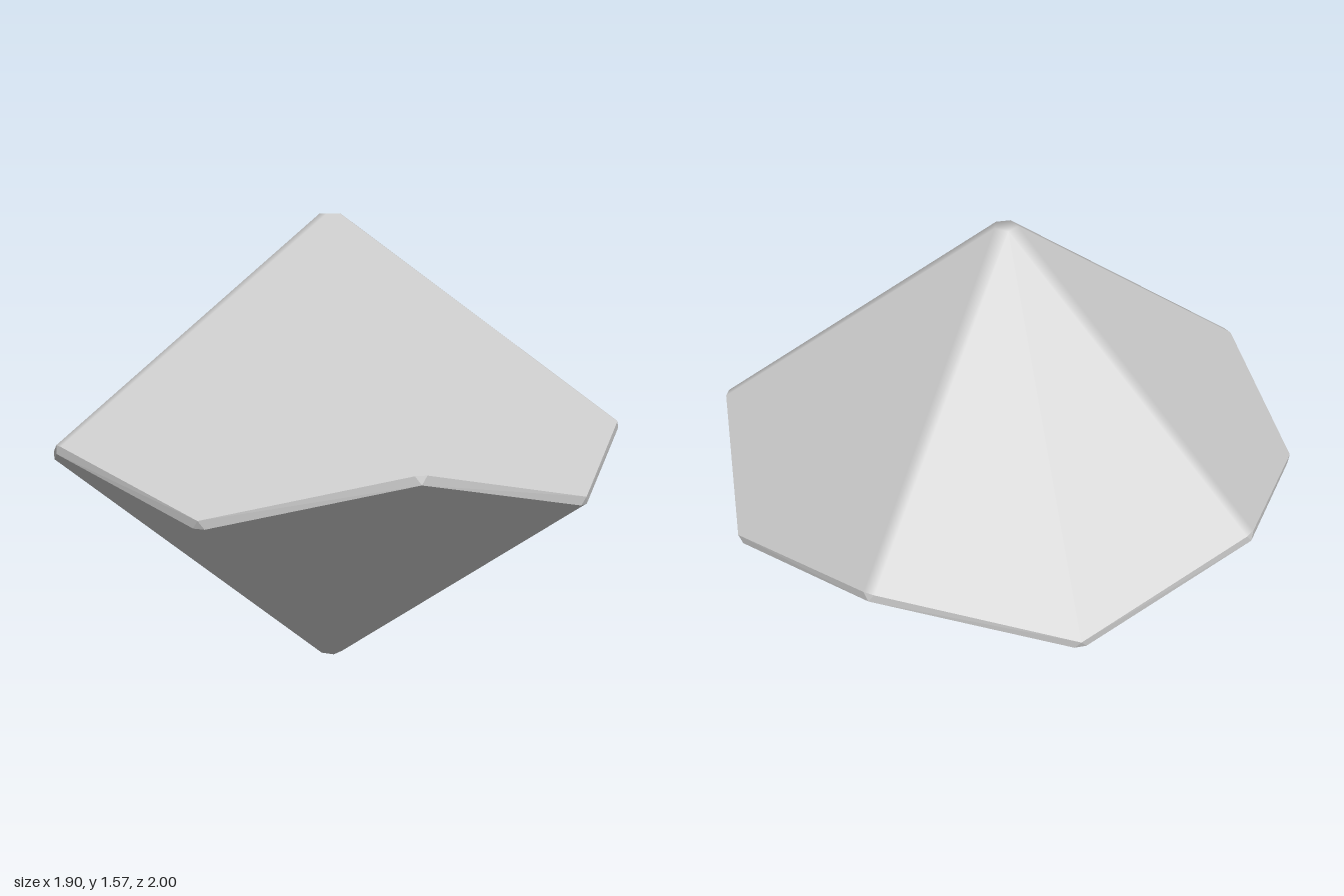
import * as THREE from 'three';
import { ConvexGeometry } from 'three/addons/geometries/ConvexGeometry.js';

const STEP = Math.PI / 5;      // half the angle between neighbouring faces
const HALF_HEIGHT = 0.785;
const BEVEL = 0.018;           // half width of the bevel along the ridges
const SLOPE = 0.87;            // steepness of each kite face

// Point at an angle measured from +z, with a radius and a sideways offset.
function polar(angle, radius, side, y) {
  const s = Math.sin(angle), c = Math.cos(angle);
  return new THREE.Vector3(radius * s + side * c, y, radius * c - side * s);
}

// Four inset corners of one kite face; dir is 1 above the equator, -1 below.
function kite(angle, dir) {
  return [
    polar(angle, 0.04, 0, dir * HALF_HEIGHT),
    polar(angle + STEP, 0.993, -BEVEL, dir * 0.08),
    polar(angle - STEP, 0.993, BEVEL, dir * 0.08),
    polar(angle, 1, 0, dir * -0.055),
  ];
}

export function createModel() {
  const group = new THREE.Group();
  group.name = 'tenSidedDie';

  // Ten kites, alternately above and below; the hull fills in the bevels.
  const corners = [];
  for (let i = 0; i < 10; i++) {
    const dir = i % 2 ? -1 : 1;
    const normal = polar(i * STEP, SLOPE, 0, dir).normalize();
    for (const point of kite(i * STEP, dir)) corners.push({ point, normal, dir });
  }
  const geometry = new ConvexGeometry(corners.map((c) => c.point));

  // Ridges shade smoothly from face to face; the equator bevel stays sharp.
  const pos = geometry.attributes.position, nor = geometry.attributes.normal;
  const p = new THREE.Vector3();
  const ownerOf = (i) => {
    p.fromBufferAttribute(pos, i);
    return corners.find((c) => c.point.distanceTo(p) < 1e-4);
  };
  for (let t = 0; t < pos.count; t += 3) {
    const owners = [0, 1, 2].map((k) => ownerOf(t + k));
    if (owners.some((o) => o.dir !== owners[0].dir)) continue;
    owners.forEach((o, k) => nor.setXYZ(t + k, o.normal.x, o.normal.y, o.normal.z));
  }
  geometry.translate(0, HALF_HEIGHT, 0);

  const body = new THREE.Mesh(geometry, new THREE.MeshStandardMaterial({ color: 0xcccccc }));
  body.name = 'dieBody';
  group.add(body);
  return group;
}
